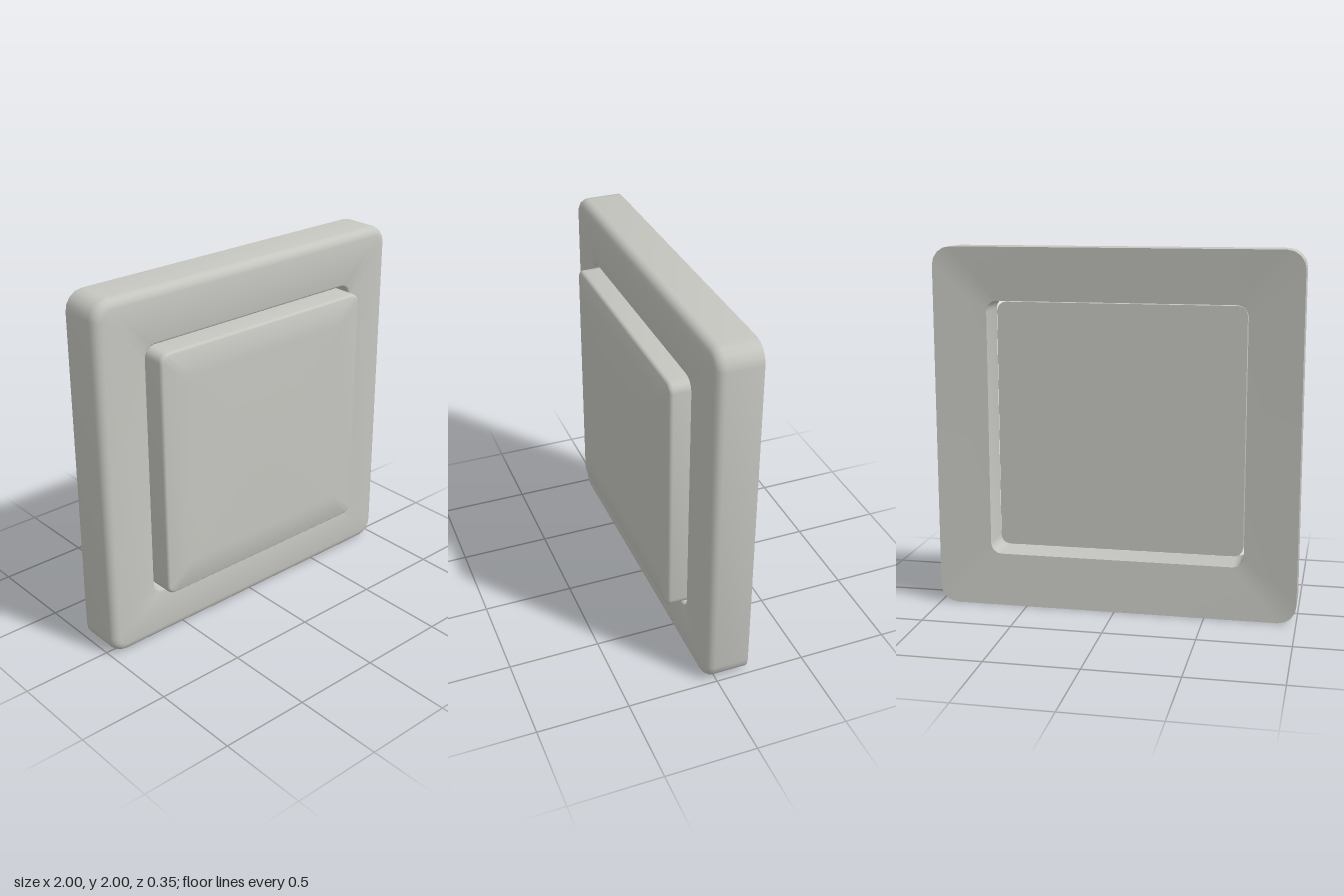
import * as THREE from 'three';
import { toCreasedNormals } from 'three/addons/utils/BufferGeometryUtils.js';

const CORNER_STEPS = 4;

// Rounded-square loop, counter-clockwise seen from +z
function roundedSquare([half, radius, z]) {
  const loop = [];
  const c = half - radius;
  for (let q = 0; q < 4; q++) {
    const mid = Math.PI / 4 + q * Math.PI / 2;
    for (let i = 0; i <= CORNER_STEPS; i++) {
      const a = q * Math.PI / 2 + (i / CORNER_STEPS) * Math.PI / 2;
      loop.push(new THREE.Vector3(
        Math.sign(Math.cos(mid)) * c + radius * Math.cos(a),
        Math.sign(Math.sin(mid)) * c + radius * Math.sin(a), z));
    }
  }
  return loop;
}

// Skin a list of [half, radius, z] sections, ordered from back to front on the outside
function loft(sections) {
  const loops = sections.map(roundedSquare);
  const pos = [];
  const tri = (a, b, c) => {
    const area = b.clone().sub(a).cross(c.clone().sub(a)).length();
    if (area > 1e-10) for (const p of [a, b, c]) pos.push(p.x, p.y, p.z);
  };
  for (let s = 0; s < loops.length - 1; s++) {
    const lo = loops[s], hi = loops[s + 1], n = lo.length;
    for (let i = 0; i < n; i++) {
      const j = (i + 1) % n;
      tri(lo[i], lo[j], hi[j]);
      tri(lo[i], hi[j], hi[i]);
    }
  }
  const geo = new THREE.BufferGeometry();
  geo.setAttribute('position', new THREE.Float32BufferAttribute(pos, 3));
  return toCreasedNormals(geo, Math.PI / 5);
}

// Quarter-round from a side wall onto the front face
function outerFillet(half, radius, front, r, steps = 4) {
  return Array.from({ length: steps + 1 }, (_, i) => {
    const a = (i / steps) * Math.PI / 2;
    const inset = r * (1 - Math.cos(a));
    return [half - inset, radius - inset, front - r + r * Math.sin(a)];
  });
}

export function createModel() {
  const plastic = new THREE.MeshStandardMaterial({ color: 0xc6c6c1 });
  plastic.name = 'warm grey plastic';

  const group = new THREE.Group();
  group.name = 'wallSwitch';
  const add = (name, geo) => {
    const mesh = new THREE.Mesh(geo, plastic);
    mesh.name = name;
    mesh.position.y = 1;
    group.add(mesh);
  };

  // Surround: dished back, rounded front edge, softened square opening
  const backInner = [0.71, 0.06, -0.145];
  const openingFillet = outerFillet(0.71, 0.06, 0.065, 0.013, 3)
    .map(([h, r, z]) => [1.42 - h, 0.12 - r, z]).reverse();
  add('frame', loft([
    backInner,
    [1, 0.1, -0.175],
    ...outerFillet(1, 0.1, 0.065, 0.05),
    ...openingFillet,
    backInner,
  ]));

  // Rocker: flat back, rounded rim, slightly domed face
  const edge = 0.67;
  const dome = [0.8, 0.6, 0.4, 0.2, 0].map(t =>
    [edge * t, 0.03 * t, 0.165 + 0.01 * (1 - t * t)]);
  add('rocker', loft([
    [0, 0, 0],
    [0.692, 0.05, 0],
    ...outerFillet(0.692, 0.05, 0.165, 0.022),
    ...dome,
  ]));

  return group;
}
